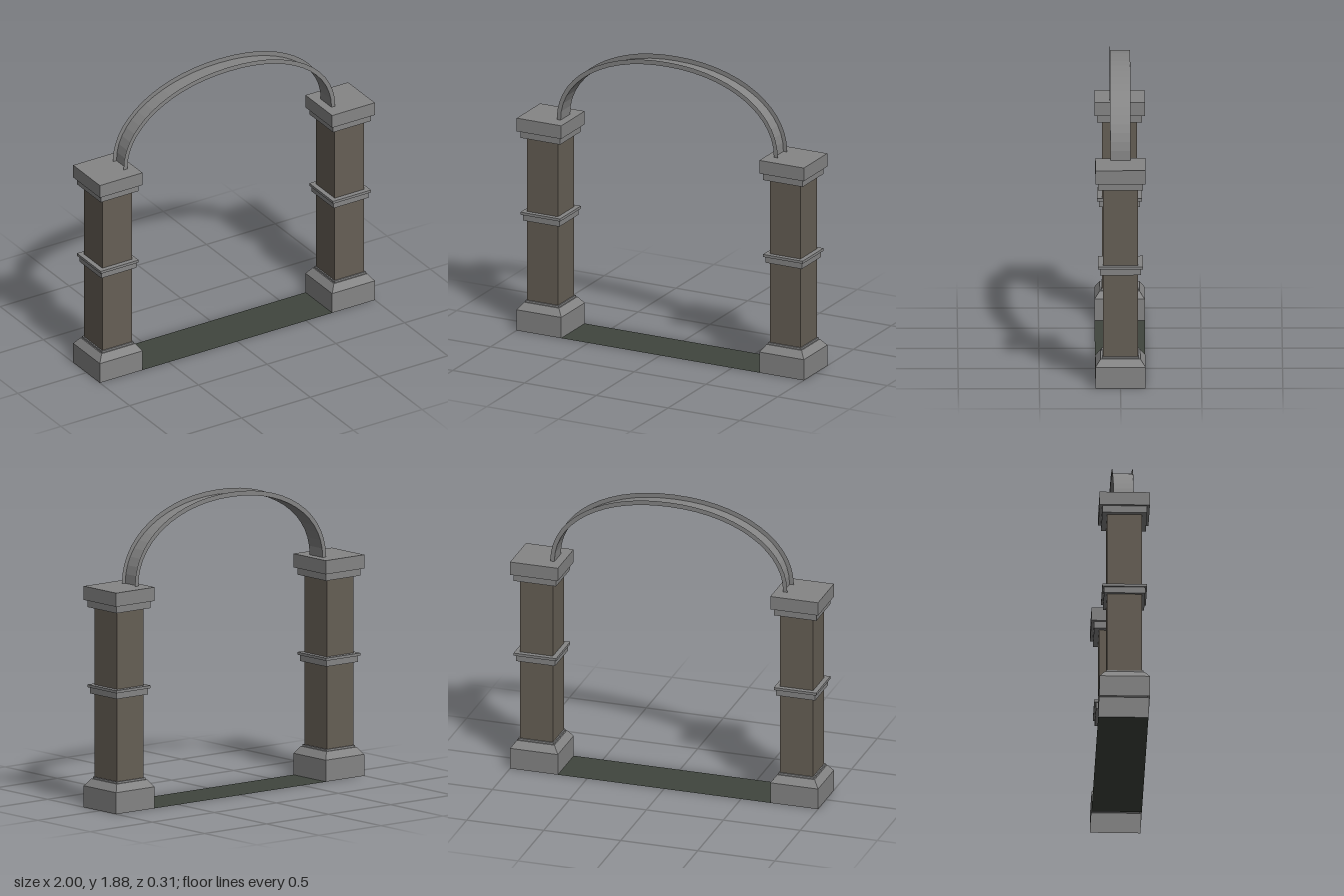
import * as THREE from 'three';

const make = (name, color) => {
  const m = new THREE.MeshStandardMaterial({ color, flatShading: true, side: THREE.DoubleSide });
  m.name = name;
  return m;
};

// Square shell swept around y from [half width, height] points
function squareLathe(name, profile, material) {
  const pts = profile.map(([h, y]) => new THREE.Vector2(h * Math.SQRT2, y));
  const mesh = new THREE.Mesh(new THREE.LatheGeometry(pts, 4, Math.PI / 4), material);
  mesh.name = name;
  return mesh;
}

// Point on the arch curve, t from 0 (+x foot) to 1 (-x foot)
function archPoint(t, a, b) {
  const c = Math.cos(Math.PI * t), s = Math.max(0, Math.sin(Math.PI * t)), e = 2 / 2.1;
  return [Math.sign(c) * a * Math.abs(c) ** e, 1.385 + b * s ** e];
}

// Open channel: outer rim, inner web, outer rim
function archGeometry() {
  const steps = 28, half = 0.0625, pos = [], index = [];
  for (let i = 0; i <= steps; i++) {
    const [ox, oy] = archPoint(i / steps, 0.77, 0.5);
    const [ix, iy] = archPoint(i / steps, 0.743, 0.47);
    pos.push(ox, oy, half, ix, iy, half, ix, iy, -half, ox, oy, -half);
    if (i === steps) break;
    for (let j = 0; j < 3; j++) {
      const p = i * 4 + j;
      index.push(p, p + 4, p + 1, p + 1, p + 4, p + 5);
    }
  }
  const g = new THREE.BufferGeometry();
  g.setAttribute('position', new THREE.Float32BufferAttribute(pos, 3));
  g.setIndex(index);
  const flat = g.toNonIndexed();
  flat.computeVertexNormals();
  return flat;
}

export function createModel() {
  const stone = make('grey stone', 0x858585);
  const brick = make('brown masonry', 0x665f55);
  const moss = make('dark green ground', 0x40463e);
  const model = new THREE.Group();
  model.name = 'archway';

  // Two matching pillars, hollow at the foot
  for (const side of [-1, 1]) {
    const pillar = new THREE.Group();
    pillar.name = side > 0 ? 'leftPillar' : 'rightPillar';
    pillar.position.x = side * 0.845;
    pillar.add(
      squareLathe('base', [[0.155, 0], [0.155, 0.135], [0.122, 0.18], [0.115, 0.18], [0.115, 0.192], [0.107, 0.192]], stone),
      squareLathe('shaft', [[0.107, 0.192], [0.107, 1.255]], brick),
      squareLathe('middleBand', [[0.107, 0.714], [0.127, 0.714], [0.127, 0.753], [0.138, 0.753], [0.138, 0.77], [0.107, 0.77]], stone),
      squareLathe('capital', [[0.107, 1.255], [0.138, 1.255], [0.138, 1.3], [0.155, 1.3], [0.155, 1.386], [0, 1.386]], stone)
    );
    model.add(pillar);
  }

  const arch = new THREE.Mesh(archGeometry(), stone);
  arch.name = 'arch';
  model.add(arch);

  // Ground strip between the bases
  const threshold = new THREE.Mesh(new THREE.PlaneGeometry(1.38, 0.31).rotateX(-Math.PI / 2), moss);
  threshold.name = 'threshold';
  model.add(threshold);
  return model;
}
